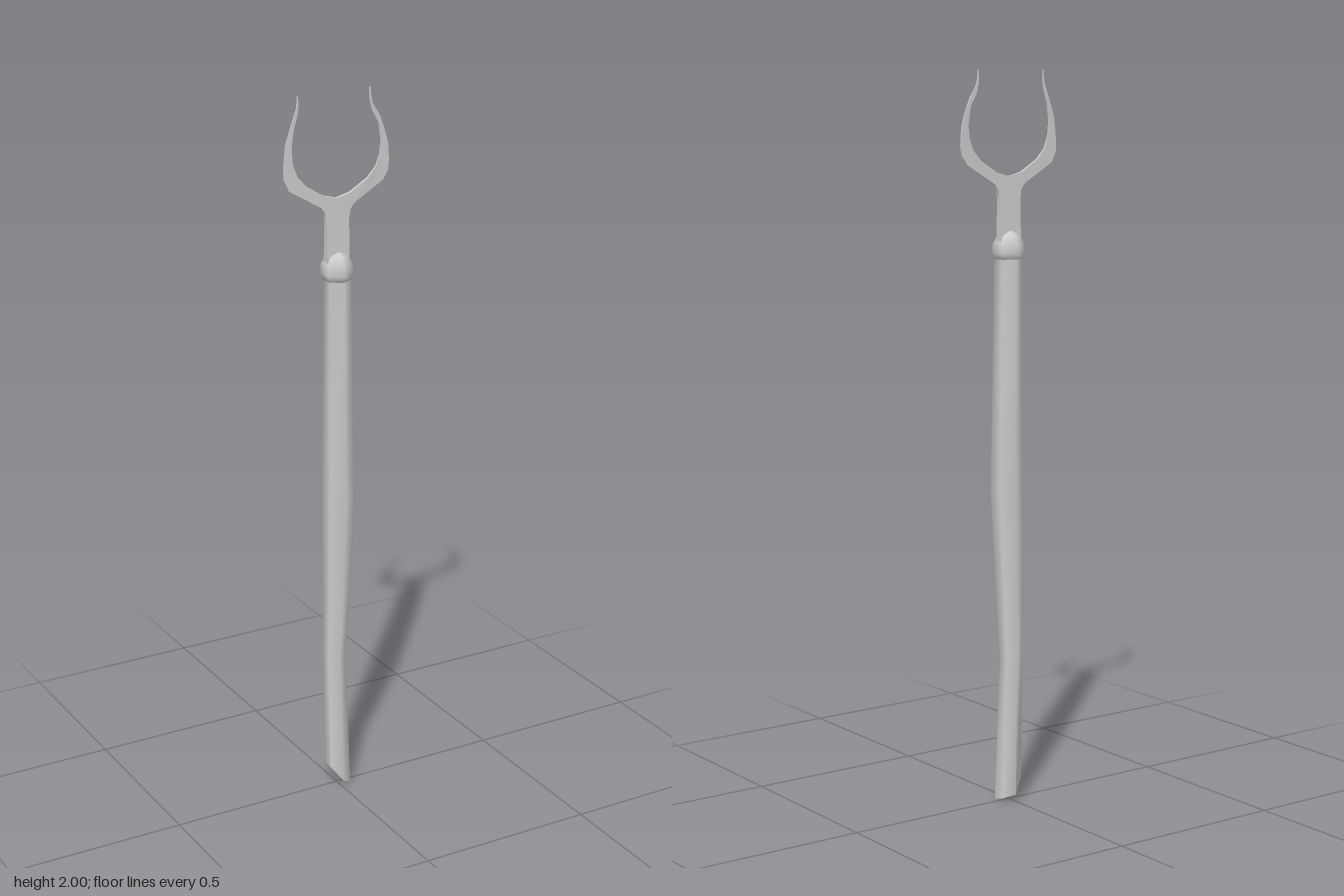
import * as THREE from 'three';
import { toCreasedNormals } from 'three/addons/utils/BufferGeometryUtils.js';

const grey = new THREE.MeshStandardMaterial({ color: 0xcccccc });
const SIDES = 6;

function addMesh(group, name, geometry) {
  const mesh = new THREE.Mesh(geometry, grey);
  mesh.name = name;
  group.add(mesh);
}

// Hexagonal shaft lofted through uneven rings: [y, centreX, centreZ, radiusX, radiusZ]
function shaftGeometry() {
  const rings = [
    [0, 0.001, 0.002, 0.032, 0.037],
    [0.4, -0.003, -0.008, 0.027, 0.031],
    [0.87, 0.008, -0.003, 0.039, 0.043],
    [1.51, 0.001, 0.002, 0.032, 0.037],
  ];
  // Slanted cut at the foot, one height per corner
  const foot = [0.02, 0, 0.01, 0.02, 0.065, 0.065];
  const positions = [];
  const index = [];
  rings.forEach(([y, cx, cz, rx, rz], j) => {
    for (let k = 0; k < SIDES; k++) {
      const a = (k / SIDES) * Math.PI * 2;
      positions.push(
        cx + (Math.sin(a) / Math.cos(Math.PI / 6)) * rx,
        j === 0 ? foot[k] : y,
        cz + Math.cos(a) * rz
      );
      if (j < rings.length - 1) {
        const p = j * SIDES + k;
        const q = j * SIDES + ((k + 1) % SIDES);
        index.push(p, q, q + SIDES, p, q + SIDES, p + SIDES);
      }
    }
  });
  // End caps
  const top = (rings.length - 1) * SIDES;
  for (let k = 1; k < SIDES - 1; k++) {
    index.push(0, k + 1, k, top, top + k, top + k + 1);
  }
  const geometry = new THREE.BufferGeometry();
  geometry.setAttribute('position', new THREE.Float32BufferAttribute(positions, 3));
  geometry.setIndex(index);
  return toCreasedNormals(geometry, 1.15);
}

// Hexagonal collar with a pointed top
function collarGeometry() {
  const profile = [[0.03, 1.5], [0.041, 1.5], [0.043, 1.515], [0.043, 1.54], [0.03, 1.562], [0, 1.583]];
  return new THREE.LatheGeometry(profile.map(([r, y]) => new THREE.Vector2(r, y)), SIDES);
}

// Flat two-pronged head, thinning towards the tips
function forkGeometry() {
  const outline = [
    // stem and right prong, outside then inside
    [-0.033, 1.53], [0.033, 1.53], [0.033, 1.6], [0.034, 1.66], [0.038, 1.685], [0.05, 1.7],
    [0.138, 1.752], [0.152, 1.775], [0.156, 1.8], [0.153, 1.85], [0.141, 1.89], [0.127, 1.925],
    [0.108, 1.955], [0.102, 1.975], [0.1, 2], [0.097, 2],
    [0.097, 1.97], [0.104, 1.94], [0.124, 1.905], [0.132, 1.855], [0.128, 1.82], [0.117, 1.79],
    [0.092, 1.762], [0.04, 1.73], [0, 1.72],
    // left prong, inside then outside
    [-0.04, 1.73], [-0.092, 1.762], [-0.117, 1.79], [-0.13, 1.825], [-0.133, 1.865], [-0.127, 1.91],
    [-0.115, 1.95], [-0.112, 1.97], [-0.113, 2], [-0.116, 2], [-0.117, 1.97], [-0.133, 1.925],
    [-0.15, 1.875], [-0.156, 1.82], [-0.156, 1.785], [-0.143, 1.755], [-0.05, 1.7], [-0.038, 1.685],
    [-0.034, 1.66], [-0.033, 1.6],
  ];
  const shape = new THREE.Shape(outline.map(([x, y]) => new THREE.Vector2(x, y)));
  const geometry = new THREE.ExtrudeGeometry(shape, { depth: 2, bevelEnabled: false });
  geometry.translate(0, 0, -1);
  // Half thickness by height
  const steps = [[1.53, 0.012], [1.6, 0.009], [1.7, 0.005], [1.8, 0.0025], [2, 0.0015]];
  const half = (y) => {
    for (let i = 1; i < steps.length; i++) {
      const [y0, t0] = steps[i - 1];
      const [y1, t1] = steps[i];
      if (y <= y1) return THREE.MathUtils.mapLinear(y, y0, y1, t0, t1);
    }
    return steps[steps.length - 1][1];
  };
  const p = geometry.attributes.position;
  for (let i = 0; i < p.count; i++) p.setZ(i, p.getZ(i) * half(p.getY(i)));
  return toCreasedNormals(geometry, 0.7);
}

export function createModel() {
  const group = new THREE.Group();
  group.name = 'forkedStaff';
  addMesh(group, 'shaft', shaftGeometry());
  addMesh(group, 'collar', collarGeometry());
  addMesh(group, 'forkHead', forkGeometry());
  return group;
}
